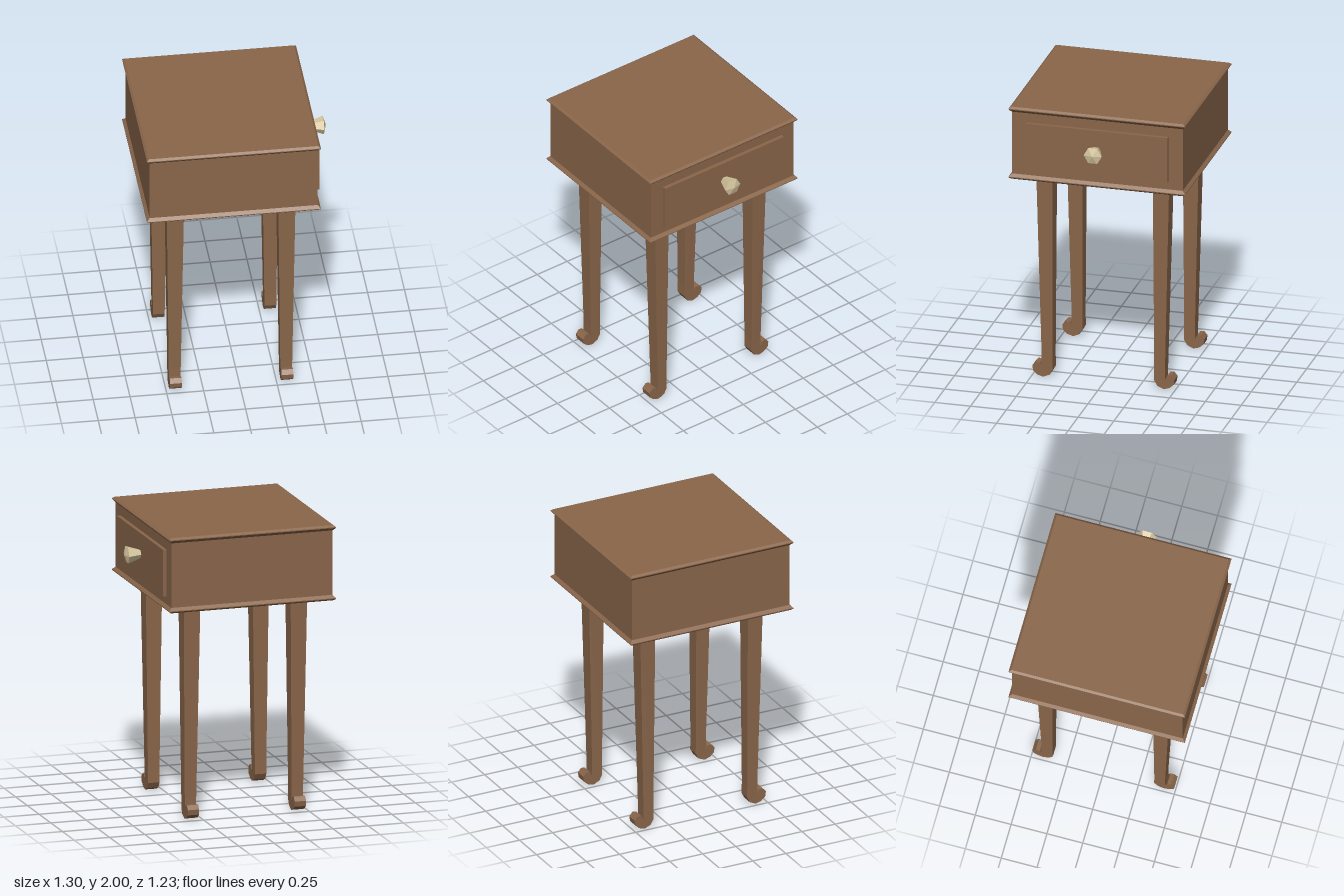
import * as THREE from 'three';

const wood = new THREE.MeshStandardMaterial({ color: 0x8a664a, flatShading: true });
const brass = new THREE.MeshStandardMaterial({ color: 0xd8c8a0, flatShading: true });

function add(parent, name, geometry, material, x = 0, y = 0, z = 0) {
  const mesh = new THREE.Mesh(geometry, material);
  mesh.name = name;
  mesh.position.set(x, y, z);
  parent.add(mesh);
  return mesh;
}

// Rectangular moulding: profile is a list of [scale, y], closed at both ends
function moulding(width, depth, profile) {
  const pts = profile.map(([s, y]) => new THREE.Vector2(s * Math.SQRT1_2, y));
  pts.unshift(new THREE.Vector2(0, profile[0][1]));
  pts.push(new THREE.Vector2(0, profile[profile.length - 1][1]));
  return new THREE.LatheGeometry(pts, 4).rotateY(Math.PI / 4).scale(width, 1, depth);
}

// Leg with scrolled foot: side outline extruded, then narrowed towards the floor
function legGeometry(side) {
  const outline = [
    [0.35, 1.47], [0.355, 0.15], [0.353, 0.06], [0.375, 0.02], [0.42, 0], [0.46, 0.012],
    [0.49, 0.038], [0.496, 0.075], [0.472, 0.103], [0.445, 0.1], [0.43, 0.07], [0.43, 0.15], [0.463, 1.47],
  ];
  const shape = new THREE.Shape(outline.map(([z, y]) => new THREE.Vector2(z * side, y)));
  const geo = new THREE.ExtrudeGeometry(shape, { depth: 1, bevelEnabled: false });
  geo.rotateY(-Math.PI / 2).translate(0.5, 0, 0);
  const p = geo.attributes.position;
  for (let i = 0; i < p.count; i++) {
    const t = Math.max(0, (p.getY(i) - 0.1) / 1.37);
    p.setX(i, p.getX(i) * (0.08 + 0.037 * t));
  }
  geo.computeVertexNormals();
  return geo;
}

export function createModel() {
  const model = new THREE.Group();
  model.name = 'nightstand';
  const cx = -0.06;

  // Cabinet with edge mouldings above and below
  add(model, 'cabinet', new THREE.BoxGeometry(1.14, 0.48, 1.19), wood, cx, 1.74, 0);
  add(model, 'topBoard', moulding(1.18, 1.23, [[0.968, 1.962], [1, 1.982], [1, 1.988], [0.975, 2]]), wood, cx);
  add(model, 'bottomBoard', moulding(1.18, 1.23, [[0.975, 1.478], [1, 1.49], [1, 1.496], [0.968, 1.515]]), wood, cx);

  // Drawer front and six-sided knob
  add(model, 'drawerFront', new THREE.BoxGeometry(0.045, 0.325, 0.99), wood, 0.5135, 1.733, 0);
  const knobProfile = [[0, 0], [0.03, 0], [0.063, 0.096], [0, 0.114]].map(([r, y]) => new THREE.Vector2(r, y));
  const knob = new THREE.LatheGeometry(knobProfile, 6).rotateZ(-Math.PI / 2);
  add(model, 'drawerKnob', knob, brass, 0.534, 1.75, 0);

  // Four legs with collars
  for (const x of [-0.437, 0.32]) {
    for (const side of [-1, 1]) {
      const leg = new THREE.Group();
      leg.name = 'leg';
      leg.position.x = x;
      add(leg, 'legPost', legGeometry(side), wood);
      const collar = moulding(0.143, 0.139, [[0.84, 1.445], [1, 1.462], [1, 1.482]]);
      add(leg, 'legCollar', collar, wood, 0, 0, side * 0.406);
      model.add(leg);
    }
  }
  return model;
}
